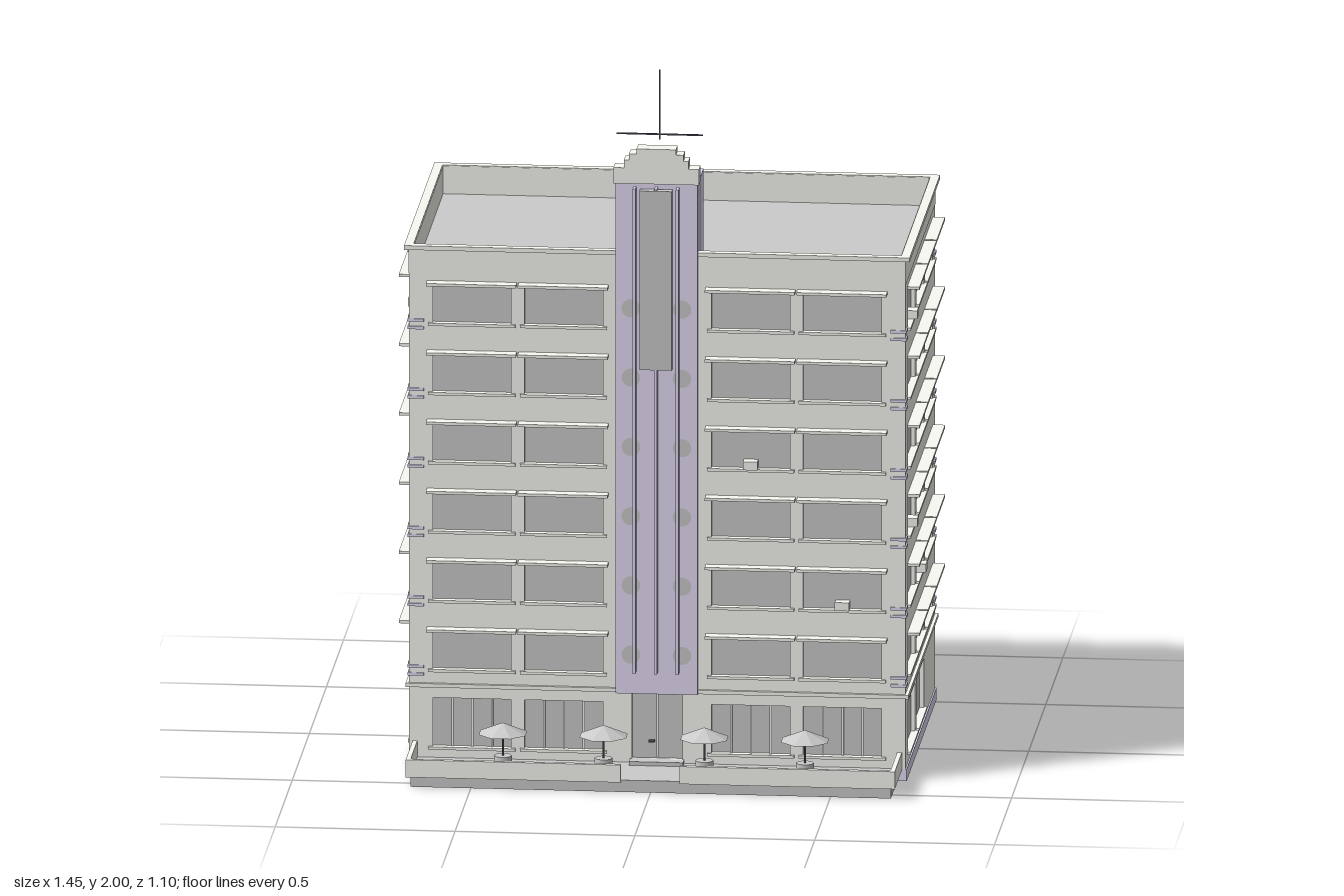
import * as THREE from 'three';

const mat = (color, side = THREE.FrontSide) => new THREE.MeshStandardMaterial({ color, side });
const cream = mat(0xfafaf4), lilac = mat(0xe6ddf7), grey = mat(0xcccccc);
const greyThin = mat(0xcccccc, THREE.DoubleSide), dark = mat(0x55505f);

const W = 1.38, D = 0.865, ZC = -0.0875, H = 1.5; // body size and its z centre
const FRONT = ZC + D / 2;
const floors = [0, 1, 2, 3, 4, 5].map(i => 0.288 + i * 0.1985);

function add(parent, name, geometry, material, x = 0, y = 0, z = 0) {
  const mesh = new THREE.Mesh(geometry, material);
  mesh.name = name;
  mesh.position.set(x, y, z);
  parent.add(mesh);
  return mesh;
}

// box given by its ranges on each axis
function box(parent, name, material, x0, x1, y0, y1, z0, z1) {
  return add(parent, name, new THREE.BoxGeometry(x1 - x0, y1 - y0, z1 - z0), material,
    (x0 + x1) / 2, (y0 + y1) / 2, (z0 + z1) / 2);
}

function rectPath(Type, x0, x1, y0, y1) {
  return new Type([[x0, y0], [x1, y0], [x1, y1], [x0, y1]].map(p => new THREE.Vector2(...p)));
}

// horizontal frame running round the body
function ring(parent, name, material, out, inward, y0, y1) {
  const a = W / 2 + out, b = D / 2 + out;
  const s = rectPath(THREE.Shape, -a, a, -b, b);
  const i = inward + out;
  s.holes.push(rectPath(THREE.Path, -a + i, a - i, -b + i, b - i));
  const g = new THREE.ExtrudeGeometry(s, { depth: y1 - y0, bevelEnabled: false }).rotateX(-Math.PI / 2);
  return add(parent, name, g, material, 0, y0, ZC);
}

// one facade, facing local +z, with real openings, glass, sills and sunshades
function facade(name, width, centres, winW, shadeW, ground, door, units) {
  const g = new THREE.Group();
  g.name = name;
  const T = 0.014;
  const openings = ground.map(u => [u, winW, 0.066, 0.205]);
  for (const y of floors) for (const u of centres) {
    openings.push([u, winW, y, y + 0.104]);
    box(g, 'sunshade', cream, u - shadeW / 2, u + shadeW / 2, y + 0.112, y + 0.12, -0.004, 0.034);
  }
  const shape = rectPath(THREE.Shape, -width / 2, width / 2, 0, H);
  for (const [u, w, y0, y1] of openings) {
    shape.holes.push(rectPath(THREE.Path, u - w / 2, u + w / 2, y0, y1));
    box(g, 'sill', cream, u - w / 2 - 0.012, u + w / 2 + 0.012, y0 - 0.008, y0, -0.006, 0.009);
    add(g, 'windowPane', new THREE.PlaneGeometry(w, y1 - y0), greyThin, u, (y0 + y1) / 2, -T + 0.002);
  }
  if (door) {
    const [w, y0, y1] = door;
    shape.holes.push(rectPath(THREE.Path, -w / 2, w / 2, y0, y1));
    add(g, 'door', new THREE.PlaneGeometry(w, y1 - y0), greyThin, 0, (y0 + y1) / 2, -T + 0.002);
  }
  add(g, 'wall', new THREE.ExtrudeGeometry(shape, { depth: T, bevelEnabled: false }), cream, 0, 0, -T);
  // small air conditioners standing on the sills
  for (const [u, f] of units) {
    box(g, 'airConditioner', cream, u - 0.02, u + 0.02, floors[f], floors[f] + 0.024, -0.012, 0.018);
  }
  return g;
}

function place(parent, group, x, z, turn) {
  group.position.set(x, 0, z);
  group.rotation.y = turn;
  parent.add(group);
}

function building(root) {
  const frontU = [-0.515, -0.26, 0.26, 0.515];
  const front = facade('frontFacade', W, frontU, 0.218, 0.25, frontU, [0.14, 0.045, 0.232],
    [[0.26, 3], [0.515, 1]]);
  // mullions of the shop windows and the entrance
  for (const u of [...frontU, 0]) for (const k of u ? [-0.055, 0, 0.055] : [0]) {
    box(front, 'mullion', cream, u + k - 0.003, u + k + 0.003, 0.05, u ? 0.205 : 0.232, -0.013, -0.006);
  }
  box(front, 'doorHandle', dark, -0.024, -0.008, 0.092, 0.097, -0.012, 0.002);
  place(root, front, 0, FRONT, 0);

  const backU = [0, 1, 2, 3, 4, 5].map(i => -0.534 + i * 0.2135);
  place(root, facade('backFacade', W, backU, 0.168, 0.205, [], [0.06, 0.036, 0.13],
    [[-0.32, 3], [-0.11, 2]]), 0, ZC - D / 2, Math.PI);

  const sideU = [-0.2525, 0, 0.2525];
  place(root, facade('leftFacade', D, sideU, 0.21, 0.244, [-0.2525, 0], null,
    [[-0.253, 5], [-0.253, 2], [0, 1]]), W / 2, ZC, Math.PI / 2);
  place(root, facade('rightFacade', D, sideU, 0.21, 0.244, [0.2525, 0], null,
    [[0.253, 5]]), -W / 2, ZC, -Math.PI / 2);

  // base, string course, parapet and roof
  ring(root, 'baseSkirt', lilac, 0.004, 0.006, 0, 0.034);
  ring(root, 'stringCourse', cream, 0.009, 0.006, 0.236, 0.247);
  ring(root, 'parapet', cream, 0.001, 0.012, 1.42, 1.492);
  ring(root, 'parapetCap', cream, 0.013, 0.012, 1.49, 1.502);
  add(root, 'roof', new THREE.PlaneGeometry(W - 0.01, D - 0.01).rotateX(-Math.PI / 2), greyThin, 0, 1.42, ZC);

  // paired stripes on the four corners of each storey
  for (const y of floors) for (const dy of [-0.016, 0.006]) for (const sx of [-1, 1]) for (const sz of [-1, 1]) {
    add(root, 'cornerStripe', new THREE.BoxGeometry(0.045, 0.008, 0.045), lilac,
      sx * (W / 2 - 0.0185), y + dy, ZC + sz * (D / 2 - 0.0185));
  }
}

function tower(root) {
  const g = new THREE.Group();
  g.name = 'frontTower';
  root.add(g);
  box(g, 'towerSlab', lilac, -0.114, 0.114, 0.236, 1.705, FRONT - 0.002, 0.366);
  for (const x of [-0.06, 0, 0.06]) {
    box(g, 'verticalFin', lilac, x - 0.004, x + 0.004, 0.3, 1.69, 0.364, 0.393);
  }
  box(g, 'signPanel', grey, -0.045, 0.045, 1.172, 1.685, 0.372, 0.395);
  for (const y of floors) for (const x of [-0.071, 0.071]) {
    add(g, 'porthole', new THREE.CircleGeometry(0.026, 20), grey, x, y + 0.06, 0.3675);
  }
  // stepped crown
  const steps = [[0.119, 1.7, 1.745], [0.09, 1.745, 1.768], [0.076, 1.768, 1.785], [0.055, 1.785, 1.8]];
  for (const [hw, y0, y1] of steps) box(g, 'crownStep', cream, -hw, hw, y0, y1, 0.328, 0.375);

  box(root, 'roofHut', lilac, -0.116, 0.116, 1.42, 1.704, 0.209, 0.316);
  box(root, 'antennaMast', dark, -0.002, 0.002, 1.8, 2, 0.266, 0.27);
  box(root, 'antennaBar', dark, -0.12, 0.12, 1.813, 1.817, 0.266, 0.27);
}

function terrace(root) {
  const g = new THREE.Group();
  g.name = 'terrace';
  root.add(g);
  box(g, 'terraceFloor', grey, -0.668, 0.668, 0, 0.034, FRONT, 0.538);
  box(g, 'doorStep', grey, -0.075, 0.075, 0.034, 0.045, FRONT - 0.012, 0.38);
  for (const s of [-1, 1]) {
    const span = (a, b) => [Math.min(s * a, s * b), Math.max(s * a, s * b)];
    box(g, 'terraceFrontWall', cream, ...span(0.082, 0.68), 0.03, 0.08, 0.537, 0.55);
    box(g, 'terraceSideWall', cream, ...span(0.667, 0.68), 0.03, 0.08, FRONT, 0.538);
  }
  // tables with eight-sided parasols
  for (const x of [-0.42, -0.14, 0.14, 0.42]) {
    const canopy = new THREE.ConeGeometry(0.07, 0.03, 8, 1, true).rotateY(Math.PI / 8).toNonIndexed();
    canopy.computeVertexNormals();
    add(g, 'parasol', canopy, greyThin, x, 0.149, 0.44);
    add(g, 'parasolPole', new THREE.CylinderGeometry(0.003, 0.003, 0.125, 6), dark, x, 0.0965, 0.44);
    add(g, 'table', new THREE.CylinderGeometry(0.025, 0.025, 0.036, 8), grey, x, 0.052, 0.44);
  }
}

export function createModel() {
  const root = new THREE.Group();
  root.name = 'hotelBuilding';
  building(root);
  tower(root);
  terrace(root);
  return root;
}
